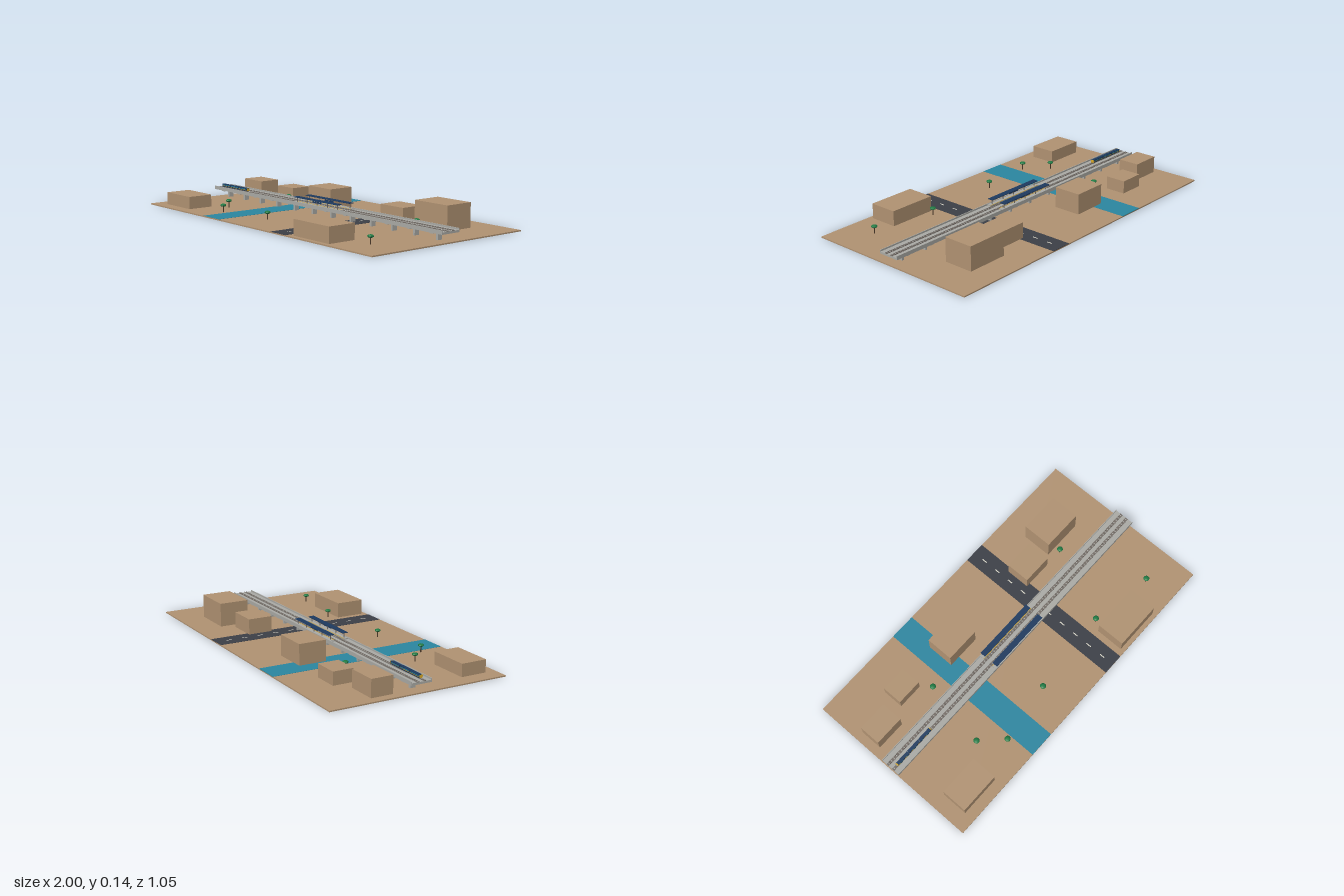
import * as THREE from 'three';

const mat = (name, color) => {
  const m = new THREE.MeshStandardMaterial({ color });
  m.name = name;
  return m;
};

export function createModel() {
  const root = new THREE.Group();
  root.name = 'elevatedRailway';

  const earth = mat('earth', 0xb09272);
  const water = mat('water', 0x2b86a0);
  const asphalt = mat('asphalt', 0x3c3f47);
  const concrete = mat('concrete', 0xaaaaa5);
  const ballast = mat('ballast', 0x756e68);
  const navy = mat('navy', 0x1d3a5f);
  const leaf = mat('leaf', 0x1f7a43);
  const bark = mat('bark', 0x4a3828);
  const yellow = mat('yellow', 0xd8a828);
  const paint = mat('roadPaint', 0xd8d6c8);
  leaf.flatShading = true;

  const group = (name, parent = root) => {
    const g = new THREE.Group();
    g.name = name;
    parent.add(g);
    return g;
  };
  // Box given by its extents on each axis
  const box = (name, m, [x0, x1], [y0, y1], [z0, z1], parent = root) => {
    const mesh = new THREE.Mesh(new THREE.BoxGeometry(x1 - x0, y1 - y0, z1 - z0), m);
    mesh.position.set((x0 + x1) / 2, (y0 + y1) / 2, (z0 + z1) / 2);
    mesh.name = name;
    parent.add(mesh);
    return mesh;
  };
  const about = (c, size) => [c - size / 2, c + size / 2];

  // Ground, river and road
  const G = 0.007, Z = 0.525;
  box('ground', earth, [-1, 1], [0, G], [-Z, Z]);
  box('river', water, [-0.428, -0.273], [G - 0.002, G + 0.001], [-Z, Z]);
  box('road', asphalt, [0.203, 0.331], [G - 0.002, G + 0.0012], [-Z, Z]);
  const dashes = group('roadDashes');
  for (let i = 0; i < 10; i++) {
    box('dash', paint, about(0.265, 0.006), [G, G + 0.002], about(-0.445 + i * 0.099, 0.032), dashes);
  }

  // Block buildings: x extents, z extents, roof height
  const buildings = group('buildings');
  [
    [-0.95, -0.773, -0.262, -0.134, 0.106],
    [-0.70, -0.548, -0.33, -0.208, 0.082],
    [-0.338, -0.132, -0.323, -0.16, 0.127],
    [0.307, 0.488, -0.297, -0.154, 0.098],
    [0.54, 0.785, -0.367, -0.192, 0.145],
    [-0.912, -0.67, 0.31, 0.462, 0.079],
    [0.367, 0.653, 0.332, 0.499, 0.095],
  ].forEach(([x0, x1, z0, z1, h]) => box('building', earth, [x0, x1], [G, h], [z0, z1], buildings));

  // Viaduct: deck, parapets, piers with caps
  const viaduct = group('viaduct');
  const T = 0.063;
  box('deck', concrete, [-1, 1], [0.051, T], [-0.06, 0.06], viaduct);
  for (const s of [-1, 1]) {
    box('parapet', concrete, [-1, 1], [0.051, 0.072], about(s * 0.0595, 0.004), viaduct);
  }
  for (let i = 0; i < 12; i++) {
    const x = -11 / 12 + i / 6;
    box('pier', concrete, about(x, 0.014), [G, 0.048], about(0, 0.03), viaduct);
    box('pierCap', concrete, about(x, 0.024), [0.046, 0.0512], about(0, 0.112), viaduct);
  }

  // Two tracks: ballast bed, sleepers, rails
  const tracks = group('tracks');
  for (const s of [-1, 1]) {
    const z = s * 0.02;
    box('trackBed', ballast, [-1, 1], [T, T + 0.001], about(z, 0.017), tracks);
    for (let i = 0; i < 100; i++) {
      box('sleeper', concrete, about(-0.99 + i * 0.02, 0.005), [T, T + 0.002], about(z, 0.014), tracks);
    }
    for (const r of [-1, 1]) {
      box('rail', ballast, [-1, 1], [T, T + 0.0035], about(z + r * 0.005, 0.0016), tracks);
    }
  }

  // Station: mirrored platforms with canopies
  const station = group('station');
  for (const s of [-1, 1]) {
    const side = group('platformSide', station);
    box('platform', concrete, [-0.205, 0.2], [T, 0.069], about(s * 0.044, 0.028), side);
    box('safetyStrip', yellow, [-0.205, 0.2], [0.069, 0.0698], about(s * 0.0315, 0.003), side);
    box('canopy', navy, [-0.196, 0.19], [0.096, 0.0995], about(s * 0.044, 0.034), side);
    for (let i = 0; i < 5; i++) {
      box('canopyPost', ballast, about(-0.183 + i * 0.09, 0.004), [0.069, 0.096], about(s * 0.044, 0.004), side);
    }
    box('signBoard', navy, about(-0.003, 0.076), [0.082, 0.09], about(s * 0.044, 0.003), side);
  }

  // Three-car train
  const train = group('train');
  const tz = 0.019;
  for (let i = 0; i < 3; i++) {
    const x = -0.921 + i * 0.0875;
    box('carBody', navy, about(x, 0.084), [0.069, 0.085], about(tz, 0.018), train);
    box('carUnderframe', asphalt, about(x, 0.074), [0.066, 0.069], about(tz, 0.013), train);
    box('carStripe', yellow, about(x, 0.0835), [0.0725, 0.0745], about(tz, 0.0186), train);
    box('carWindows', water, about(x, 0.07), [0.077, 0.081], about(tz, 0.0186), train);
  }
  for (const [x, d] of [[-0.963, -1], [-0.704, 1]]) {
    box('trainNose', yellow, about(x + d * 0.002, 0.005), [0.069, 0.084], about(tz, 0.0175), train);
  }

  // Trees: slim trunk with a flattened crown
  const trees = group('trees');
  const trunkGeo = new THREE.CylinderGeometry(0.003, 0.003, 0.036, 8);
  const crownGeo = new THREE.SphereGeometry(0.0175, 10, 6).scale(1, 0.5, 1);
  [
    [-0.507, -0.142], [-0.578, 0.248], [-0.458, 0.369], [-0.1, 0.318],
    [0.404, 0.282], [0.785, 0.343], [0.598, -0.152],
  ].forEach(([x, z]) => {
    const tree = group('tree', trees);
    tree.position.set(x, 0, z);
    const trunk = new THREE.Mesh(trunkGeo, bark);
    trunk.name = 'trunk';
    trunk.position.y = G + 0.018;
    const crown = new THREE.Mesh(crownGeo, leaf);
    crown.name = 'crown';
    crown.position.y = 0.048;
    tree.add(trunk, crown);
  });

  return root;
}
